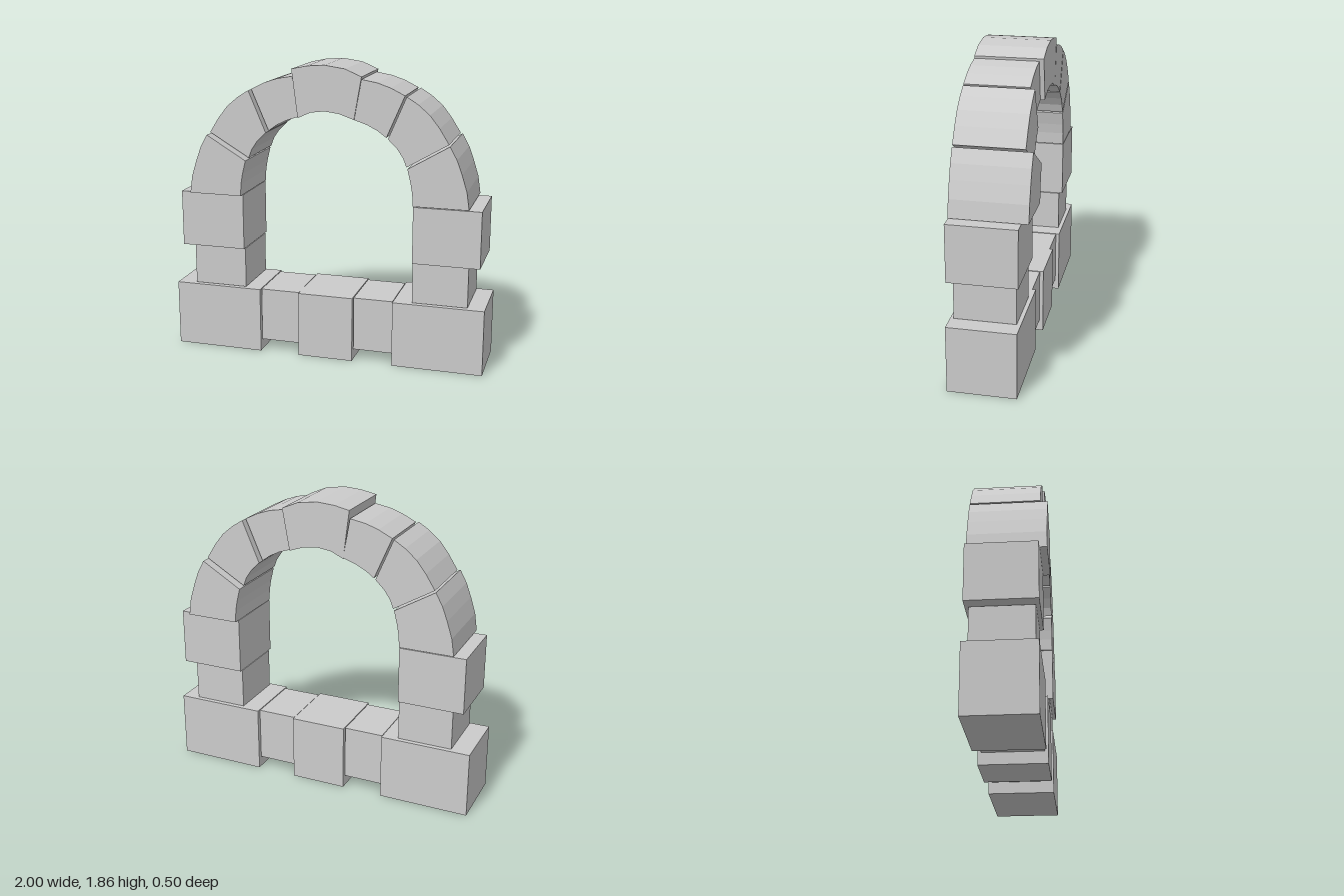
import * as THREE from 'three';

const GAP = 0.004; // joint between neighbouring stones
const DEPTH = 0.207; // half depth of a full stone

export function createModel() {
  const model = new THREE.Group();
  model.name = 'stoneArch';
  const stone = new THREE.MeshStandardMaterial({ color: 0xcccccc, flatShading: true });

  function add(parent, name, geometry) {
    const mesh = new THREE.Mesh(geometry, stone);
    mesh.name = name;
    parent.add(mesh);
    return mesh;
  }

  // Rectangular stone given by its limits in x and y and its half depth
  function block(parent, name, x0, x1, y0, y1, half = DEPTH) {
    const geometry = new THREE.BoxGeometry(x1 - x0 - GAP, y1 - y0 - GAP, half * 2);
    add(parent, name, geometry).position.set((x0 + x1) / 2, (y0 + y1) / 2, 0);
  }

  // Wedge stone: a front outline pulled from z0 to z1
  function wedge(parent, name, outline, z0 = -DEPTH, z1 = DEPTH) {
    const shape = new THREE.Shape(outline.map(([x, y]) => new THREE.Vector2(x, y)));
    const geometry = new THREE.ExtrudeGeometry(shape, { depth: z1 - z0, bevelEnabled: false });
    geometry.translate(0, 0, z0);
    add(parent, name, geometry);
  }

  // Sill course along the ground
  block(model, 'baseCentre', -0.178, 0.178, 0, 0.42);
  for (const [side, s] of [['Left', 1], ['Right', -1]]) {
    const limits = (a, b) => (s > 0 ? [a, b] : [-b, -a]);
    block(model, 'baseLink' + side, ...limits(0.178, 0.43), 0.073, 0.418, 0.185);
    block(model, 'baseEnd' + side, ...limits(0.43, 1), 0, 0.42);
  }

  // Arch stones of one side: outer curve going up, inner curve going back down
  const archStones = [
    {
      name: 'springer', z: [-0.25, DEPTH],
      outline: [[0.877, 1.036], [0.861, 1.144], [0.829, 1.246], [0.797, 1.332], [0.754, 1.41],
        [0.503, 1.261], [0.524, 1.176], [0.535, 1.112], [0.54, 1.036]],
    },
    {
      name: 'haunch', z: [-DEPTH, DEPTH],
      outline: [[0.748, 1.421], [0.69, 1.513], [0.631, 1.588], [0.561, 1.647], [0.492, 1.69],
        [0.383, 1.435], [0.439, 1.38], [0.476, 1.326], [0.497, 1.272]],
    },
    {
      name: 'shoulder', z: [-0.18, DEPTH],
      outline: [[0.482, 1.696], [0.396, 1.738], [0.316, 1.765], [0.219, 1.782],
        [0.176, 1.54], [0.257, 1.513], [0.321, 1.481], [0.373, 1.443]],
    },
  ];

  // The second side is the first one turned half round about the arch axis
  for (const [side, turn] of [['Left', 0], ['Right', Math.PI]]) {
    const half = new THREE.Group();
    half.name = 'archSide' + side;
    half.position.x = 0.008;
    half.rotation.y = turn;
    block(half, 'pillarLower' + side, 0.54, 0.886, 0.42, 0.678, 0.184);
    block(half, 'pillarUpper' + side, 0.54, 0.957, 0.678, 1.034);
    for (const { name, outline, z } of archStones) wedge(half, name + side, outline, ...z);
    model.add(half);
  }

  // Keystone, slightly tilted
  wedge(model, 'keystone', [
    [0.227, 1.797], [0.126, 1.84], [0, 1.858], [-0.11, 1.85], [-0.206, 1.83],
    [-0.169, 1.535], [-0.088, 1.572], [0, 1.583], [0.088, 1.572], [0.182, 1.54],
  ]);

  return model;
}
